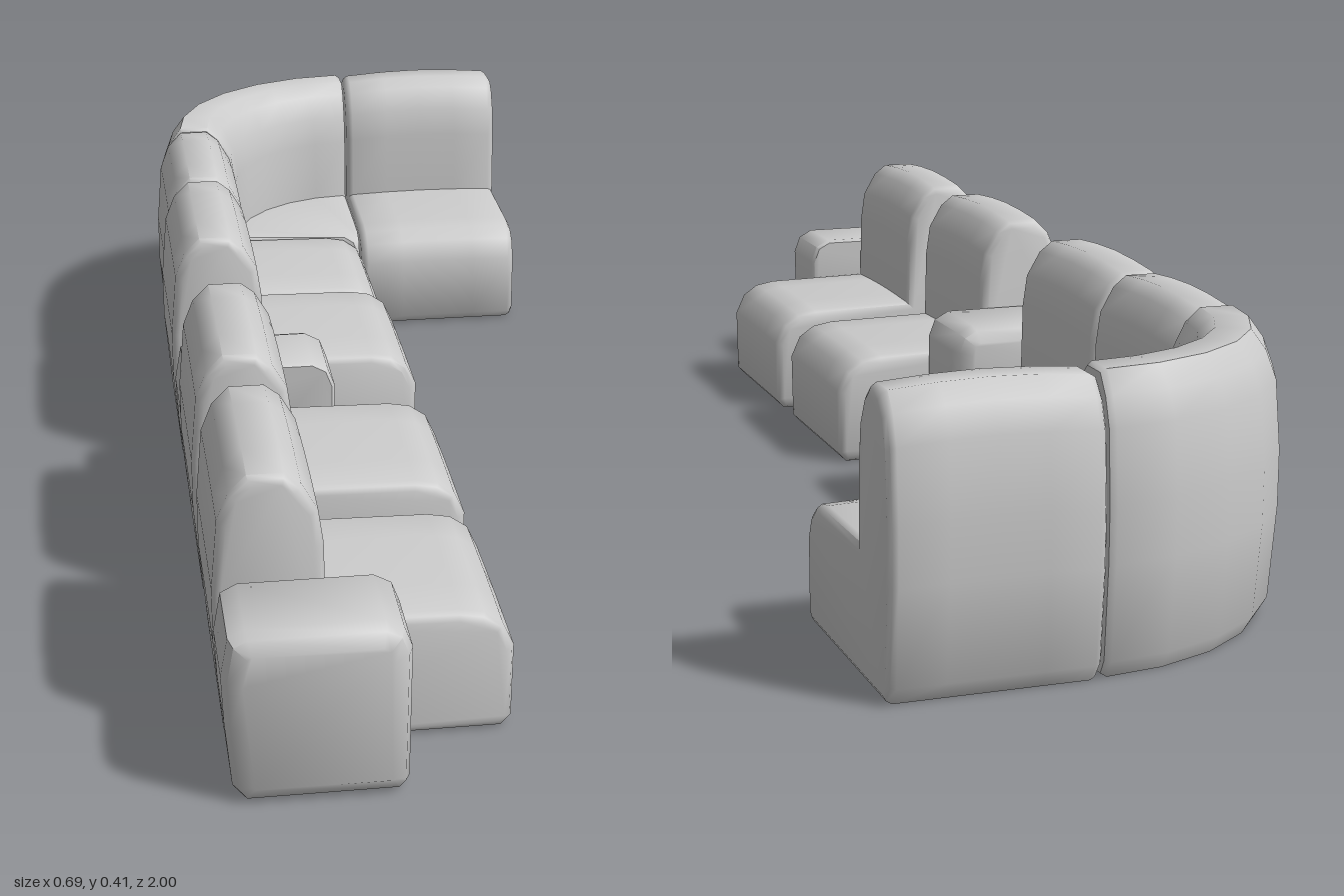
import * as THREE from 'three';
import { toCreasedNormals } from 'three/addons/utils/BufferGeometryUtils.js';

const material = new THREE.MeshStandardMaterial({ color: 0xcccccc });
const points = (list) => list.map(([x, y]) => new THREE.Vector2(x, y));

// Counter-clockwise cross-sections: x runs from back to front, y is up
const seatProfile = points([
  [-0.315, 0], [0.05, 0], [0.064, 0.015], [0.066, 0.125], [0.05, 0.16], [0.024, 0.178], [-0.01, 0.184],
  [-0.192, 0.187], [-0.194, 0.3], [-0.201, 0.35], [-0.223, 0.388], [-0.245, 0.405], [-0.295, 0.405],
  [-0.32, 0.38], [-0.336, 0.34], [-0.345, 0.24], [-0.345, 0.16], [-0.334, 0.025],
]);
const cornerProfile = points([
  [-0.31, 0], [0.03, 0], [0.04, 0.015], [0.04, 0.15], [0.033, 0.17], [0.015, 0.182],
  [-0.186, 0.19], [-0.189, 0.3], [-0.197, 0.35], [-0.217, 0.39], [-0.24, 0.41], [-0.29, 0.41],
  [-0.312, 0.38], [-0.327, 0.34], [-0.335, 0.24], [-0.335, 0.16], [-0.325, 0.025],
]);
const armProfile = points([
  [-0.318, 0], [-0.11, 0], [-0.097, 0.015], [-0.095, 0.215], [-0.106, 0.244], [-0.13, 0.257],
  [-0.312, 0.257], [-0.335, 0.245], [-0.345, 0.19], [-0.342, 0.12], [-0.333, 0.02],
]);

// Shrinks a cross-section inward by a distance
function inset(profile, d) {
  const n = profile.length;
  const normal = (a, b) => new THREE.Vector2(a.y - b.y, b.x - a.x).normalize();
  return profile.map((p, i) => {
    const n1 = normal(profile[(i + n - 1) % n], p);
    const n2 = normal(p, profile[(i + 1) % n]);
    return n1.clone().add(n2).multiplyScalar(d / (1 + n1.dot(n2))).add(p);
  });
}

// Skins a closed solid over stations [position, inset]; place() maps a point into space
function loft(name, profile, stations, place) {
  const n = profile.length, positions = [], index = [];
  stations.forEach(([s, d], i) => {
    for (const p of inset(profile, d)) positions.push(...place(p.x, p.y, s));
    if (i === 0) return;
    for (let j = 0; j < n; j++) {
      const k = (j + 1) % n, a = (i - 1) * n, b = i * n;
      index.push(a + j, a + k, b + j, a + k, b + k, b + j);
    }
  });
  const last = (stations.length - 1) * n;
  for (const [a, b, c] of THREE.ShapeUtils.triangulateShape(profile, [])) {
    index.push(a, c, b, last + a, last + b, last + c);
  }
  const geometry = new THREE.BufferGeometry();
  geometry.setAttribute('position', new THREE.Float32BufferAttribute(positions, 3));
  geometry.setIndex(index);
  const mesh = new THREE.Mesh(toCreasedNormals(geometry, 0.85), material);
  mesh.name = name;
  return mesh;
}

// Straight seat with softened ends and a slightly crowned top
function seat(name, from, to, place) {
  const at = (s) => from + (to - from) * s;
  const stations = [
    [at(0), 0.012], [at(0.015), 0.004], [at(0.04), 0], [at(0.27), 0], [at(0.5), 0],
    [at(0.73), 0], [at(0.96), 0], [at(0.985), 0.004], [at(1), 0.012],
  ];
  return loft(name, seatProfile, stations, (x, y, s) => {
    const crown = 1 + 0.02 * Math.sin(Math.PI * (s - from) / (to - from));
    return place(x, y * crown, s);
  });
}

// Armrest: outer face is rounded and leans in toward the floor
function arm(name, inner, outer) {
  const dir = Math.sign(outer - inner);
  const stations = [
    [inner, 0.005], [inner + dir * 0.006, 0], [outer - dir * 0.03, 0],
    [outer - dir * 0.011, 0.007], [outer, 0.026],
  ];
  if (dir < 0) stations.reverse();
  return loft(name, armProfile, stations, (x, y, s) => {
    const lean = 0.014 * Math.max(0, 1 - y / 0.19) * (s - inner) / (outer - inner);
    return [x, y, s - dir * lean];
  });
}

export function createModel() {
  const group = new THREE.Group();
  group.name = 'modularSofa';
  const alongZ = (x, y, s) => [x, y, s];

  // Free-standing seats, two with an armrest
  group.add(
    seat('leftArmSeat', 0.53, 0.842, alongZ),
    arm('leftArmrest', 0.842, 1),
    seat('rightArmSeat', 0.133, 0.442, alongZ),
    arm('rightArmrest', 0.133, -0.022),
    seat('middleSeat', -0.36, -0.05, alongZ),
    seat('narrowSeat', -0.64, -0.36, (x, y, s) => [x * 0.95 - 0.01, y, s]),
  );

  // Curved corner swept a quarter turn around the inner seat corner
  const stations = [[1, 0.005], [0.985, 0]];
  for (let i = 5; i > 0; i--) stations.push([i / 6, 0]);
  stations.push([0.015, 0], [0, 0.005]);
  group.add(loft('cornerSeat', cornerProfile, stations, (x, y, s) => {
    const angle = s * Math.PI / 2, r = 0.045 - x;
    return [0.045 - r * Math.cos(angle), y, -0.635 - r * 0.94 * Math.sin(angle)];
  }));

  // End seat facing the front
  group.add(seat('endSeat', 0.345, 0.05, (x, y, s) => [s, y, -1 + (x + 0.345) * 0.9]));
  return group;
}
